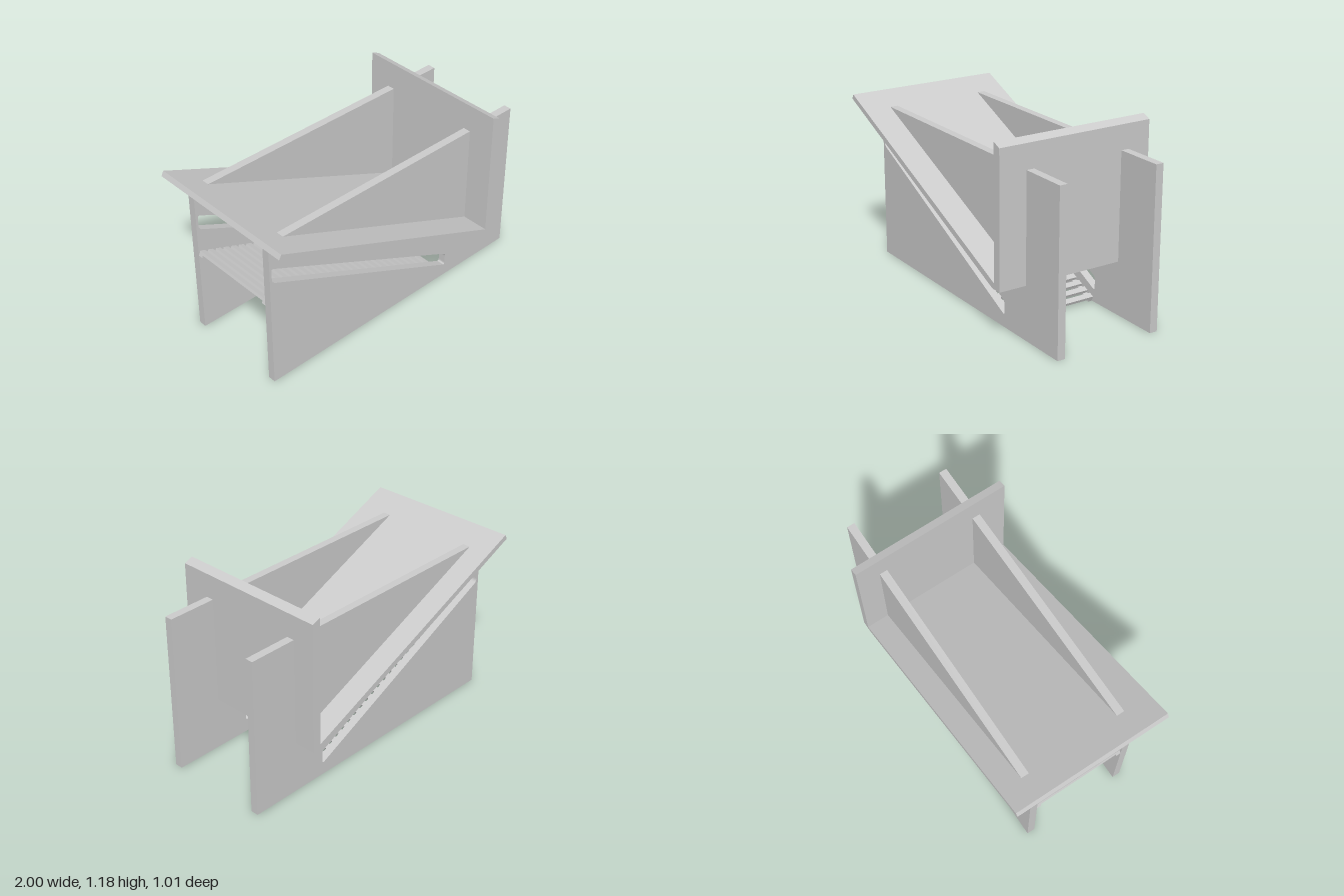
import * as THREE from 'three';

const material = new THREE.MeshStandardMaterial({ color: 0xcccccc, flatShading: true });

// Rounded-corner path through a list of [x, y] points
function roundedPath(points, radius) {
  const path = new THREE.Path();
  const v = points.map(([x, y]) => new THREE.Vector2(x, y));
  v.forEach((p, i) => {
    const prev = v[(i + v.length - 1) % v.length];
    const next = v[(i + 1) % v.length];
    const a = prev.clone().sub(p).setLength(radius).add(p);
    const b = next.clone().sub(p).setLength(radius).add(p);
    if (i === 0) path.moveTo(a.x, a.y);
    else path.lineTo(a.x, a.y);
    path.quadraticCurveTo(p.x, p.y, b.x, b.y);
  });
  path.closePath();
  return path;
}

// Extrudes an xy outline between two z positions
function plate(name, points, z0, z1, hole) {
  const shape = new THREE.Shape(points.map(([x, y]) => new THREE.Vector2(x, y)));
  if (hole) shape.holes.push(hole);
  const geometry = new THREE.ExtrudeGeometry(shape, { depth: z1 - z0, bevelEnabled: false, curveSegments: 5 });
  geometry.translate(0, 0, z0);
  const mesh = new THREE.Mesh(geometry, material);
  mesh.name = name;
  return mesh;
}

function box(name, w, h, d, x, y, z) {
  const mesh = new THREE.Mesh(new THREE.BoxGeometry(w, h, d), material);
  mesh.position.set(x, y, z);
  mesh.name = name;
  return mesh;
}

export function createModel() {
  const model = new THREE.Group();
  model.name = 'slopedStand';

  // Upright side panels, each with a long sloping slot
  const outline = [[-0.93, 0], [1, 0], [1, 1.01], [-0.905, 1.01], [-0.93, 1.012]];
  const slot = [[-0.915, 0.835], [-0.915, 0.735], [0.475, 0.075], [0.475, 0.163]];
  const innerFront = 0.28, innerBack = -0.315, thickness = 0.05;
  model.add(plate('frontPanel', outline, innerFront, innerFront + thickness, roundedPath(slot, 0.02)));
  model.add(plate('backPanel', outline, innerBack - thickness, innerBack, roundedPath(slot, 0.02)));

  // Sloping board and upright stop, crossing both panels
  model.add(plate('slopedBoardAndStop', [
    [-1, 1.05], [0.62, 0.335], [0.692, 0.335], [0.692, 1.162],
    [0.638, 1.185], [0.638, 0.37], [-0.985, 1.08],
  ], -0.51, 0.505));

  // Slatted ramp between the panels: slats resting on two side rails
  const rise = 0.55, run = 1.38;
  const length = Math.hypot(rise, run);
  const ramp = new THREE.Group();
  ramp.name = 'slattedRamp';
  ramp.position.set(0.45, 0, 0);
  ramp.rotation.z = -Math.atan2(rise, run);
  const railWidth = 0.03, railHeight = 0.015;
  for (const z of [innerFront - railWidth / 2, innerBack + railWidth / 2]) {
    ramp.add(box('rampRail', length, railHeight, railWidth, -length / 2, railHeight / 2, z));
  }
  const count = 25, slatWidth = 0.036, slatHeight = 0.018;
  const step = (length - slatWidth) / (count - 1);
  for (let i = 0; i < count; i++) {
    ramp.add(box('rampSlat', slatWidth, slatHeight, innerFront - innerBack,
      -slatWidth / 2 - i * step, railHeight + slatHeight / 2, (innerFront + innerBack) / 2));
  }
  model.add(ramp);

  return model;
}
